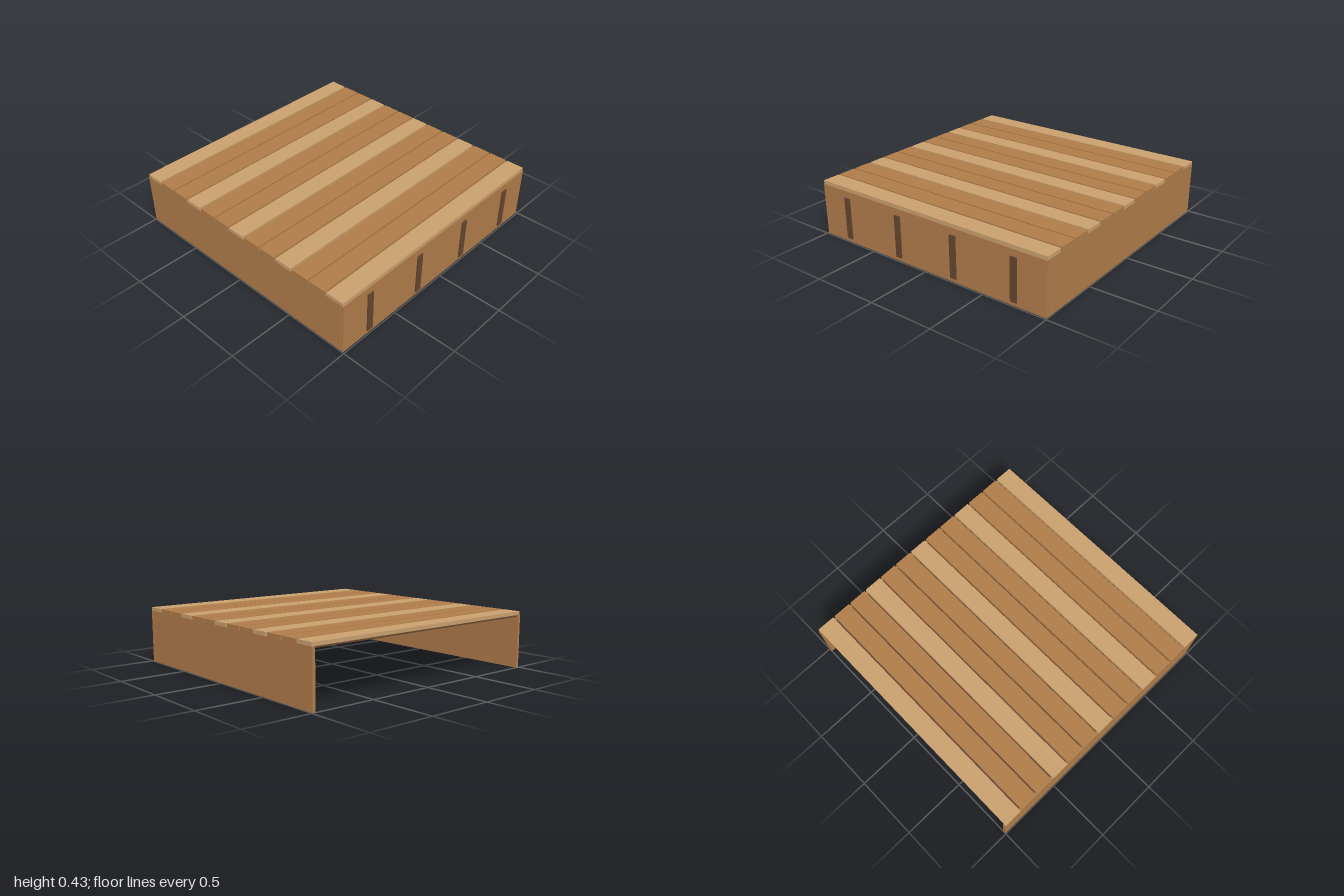
import * as THREE from 'three';

const material = (name, color) => {
  const m = new THREE.MeshStandardMaterial({ color });
  m.name = name;
  return m;
};

export function createModel() {
  const group = new THREE.Group();
  group.name = 'woodenPlatform';
  const wood = material('mid brown wood', 0xb07c4a);
  const paleWood = material('pale wood', 0xc9a06e);
  const darkWood = material('dark brown wood', 0x65462e);

  // Box given by its lower and upper limits on each axis
  const addBox = (name, mat, [x0, x1], [y0, y1], [z0, z1]) => {
    const mesh = new THREE.Mesh(new THREE.BoxGeometry(x1 - x0, y1 - y0, z1 - z0), mat);
    mesh.position.set((x0 + x1) / 2, (y0 + y1) / 2, (z0 + z1) / 2);
    mesh.name = name;
    group.add(mesh);
  };

  const halfWidth = 0.995, panel = 0.022, top = 0.4;
  const inner = halfWidth - panel;

  // Skirt: front and two sides, open at the back
  addBox('frontPanel', wood, [-halfWidth, halfWidth], [0, top], [0.967, 0.99]);
  addBox('leftPanel', wood, [inner, halfWidth], [0, top], [-1, 0.963]);
  addBox('rightPanel', wood, [-halfWidth, -inner], [0, top], [-1, 0.963]);

  // Thin dark sheet under the planks
  addBox('underDeck', darkWood, [-inner, inner], [0.388, 0.397], [-0.99, 0.967]);

  // Deck planks, every third one pale
  const count = 13, pitch = 0.1532, width = 0.14, back = -0.993;
  for (let i = 0; i < count; i++) {
    const z = back + i * pitch;
    addBox(`plank${i + 1}`, i % 3 === 0 ? paleWood : wood,
      [-halfWidth, halfWidth], [top, 0.427], [z, z + width]);
  }

  // Upright battens on the front panel
  for (const x of [-0.747, -0.249, 0.249, 0.747]) {
    addBox('frontBatten', darkWood, [x - 0.025, x + 0.025], [0.03, 0.35], [0.985, 1]);
  }
  return group;
}
